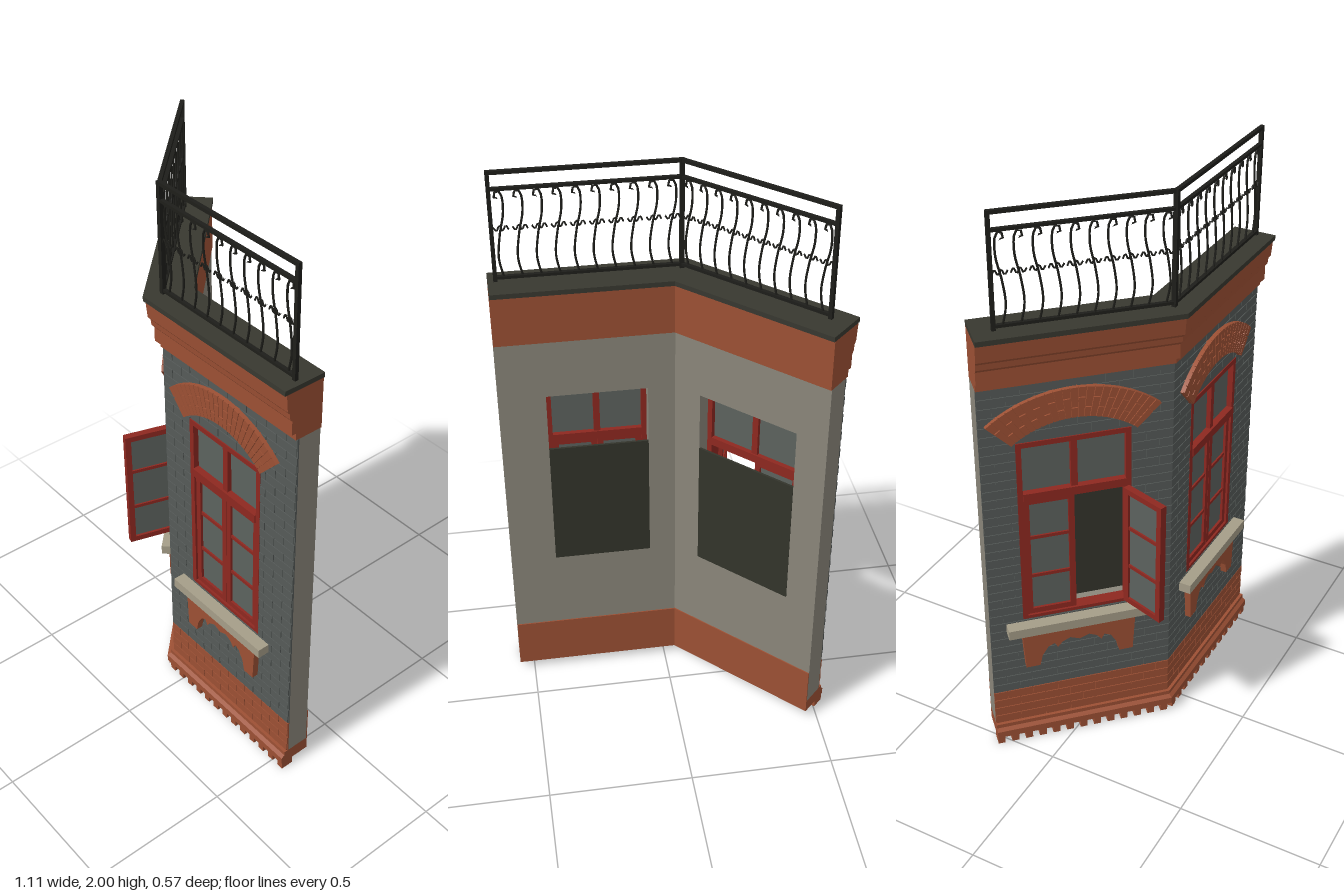
import * as THREE from 'three';
import { mergeGeometries } from 'three/addons/utils/BufferGeometryUtils.js';

const paint = (name, color) => {
  const m = new THREE.MeshStandardMaterial({ color });
  m.name = name;
  return m;
};
const M = {
  wall: paint('plaster', 0x8a867a),
  brick: paint('greyBrick', 0x555a58),
  clay: paint('terracotta', 0x9c5034),
  slab: paint('roofSlab', 0x383830),
  iron: paint('iron', 0x1e1e1a),
  red: paint('redFrame', 0x8e2820),
  glass: paint('glass', 0x5c625e),
  sill: paint('sillStone', 0xa59d88),
  panel: paint('darkPanel', 0x33342b),
};
const L = 0.628;                       // wing length along its front face
const BACK = -0.082;                   // rear face of the wall
const MITER = Math.tan(Math.PI / 8);

const mesh = (name, geo, mat) => {
  const m = new THREE.Mesh(geo, mat);
  m.name = name;
  return m;
};
// Box given by its minimum and maximum corners
function box(x0, x1, y0, y1, z0, z1) {
  const g = new THREE.BoxGeometry(Math.abs(x1 - x0), y1 - y0, z1 - z0);
  return g.translate((x0 + x1) / 2, (y0 + y1) / 2, (z0 + z1) / 2);
}
// Cut the end at the corner (x = 0) along the bisector of the two wings
function miter(geo, s) {
  const p = geo.attributes.position;
  for (let i = 0; i < p.count; i++) {
    if (Math.abs(p.getX(i)) < 1e-4) p.setX(i, -s * p.getZ(i) * MITER);
  }
  geo.computeVertexNormals();
  return geo;
}
const shapeOf = (pts) => new THREE.Shape(pts.map(([x, y]) => new THREE.Vector2(x, y)));
const extrude = (shape, depth) =>
  new THREE.ExtrudeGeometry(shape, { depth, bevelEnabled: false, curveSegments: 8 });
// Moulding: a (z, y) profile run along the wing
function moulding(profile, s) {
  const g = extrude(shapeOf(profile), L).rotateY(-Math.PI / 2);
  if (s > 0) g.translate(L, 0, 0);
  return miter(g, s);
}
const band = (z0, z1, y0, y1, s) => moulding([[z0, y0], [z1, y0], [z1, y1], [z0, y1]], s);
// Wall plate with the window opening
function pierced(s, y0, y1, hole, z0, z1) {
  const a = Math.min(0, s * L), b = Math.max(0, s * L);
  const shape = shapeOf([[a, y0], [b, y0], [b, y1], [a, y1]]);
  const [h0, h1, hy0, hy1] = hole;
  shape.holes.push(new THREE.Path([[h0, hy0], [h0, hy1], [h1, hy1], [h1, hy0]]
    .map(([x, y]) => new THREE.Vector2(x, y))));
  return miter(extrude(shape, z1 - z0).translate(0, 0, z0), s);
}
// Running bond of bricks that leaves the opening free
function bricks(s, y0, y1, rows, hole) {
  const parts = [], len = 0.0897, gap = 0.003, h = (y1 - y0) / rows;
  for (let r = 0; r < rows; r++) {
    const b0 = y0 + r * h, b1 = b0 + h - gap;
    for (let u = r % 2 ? -len / 2 : 0; u < L - 0.001; u += len) {
      const ua = Math.max(0, u), ub = Math.min(L, u + len - gap);
      const a = Math.min(s * ua, s * ub), b = Math.max(s * ua, s * ub);
      const cut = hole && b1 > hole[2] && b0 < hole[3];
      const spans = cut ? [[a, Math.min(b, hole[0])], [Math.max(a, hole[1]), b]] : [[a, b]];
      for (const [p, q] of spans) if (q - p > 0.003) parts.push(box(p, q, b0, b1, 0.001, 0.007));
    }
  }
  return miter(mergeGeometries(parts), s);
}
// Glazed leaf: red border, crossbars and a pane, from its hinge along +x
function leaf(name, w, y0, y1, bars) {
  const g = new THREE.Group(), t = 0.02, d = 0.012;
  g.name = name;
  const frame = [box(0, t, y0, y1, -d, d), box(w - t, w, y0, y1, -d, d),
    box(t, w - t, y0, y0 + t, -d, d), box(t, w - t, y1 - t, y1, -d, d)];
  for (let i = 1; i <= bars; i++) {
    const y = y0 + (y1 - y0) * i / (bars + 1);
    frame.push(box(t, w - t, y - 0.006, y + 0.006, -0.009, 0.009));
  }
  g.add(mesh(name + 'Frame', mergeGeometries(frame), M.red));
  g.add(mesh(name + 'Pane', box(t, w - t, y0 + t, y1 - t, -0.003, 0.003), M.glass));
  return g;
}
// Window with surround; k widens it, open swings the leaf next to the corner
function makeWindow(k, open) {
  const g = new THREE.Group(), hw = 0.1715 * k, t = 0.018, zc = -0.012;
  g.name = 'window';
  g.add(mesh('windowFrame', mergeGeometries([
    box(-hw, -hw + t, 0.525, 1.22, -0.035, 0.008), box(hw - t, hw, 0.525, 1.22, -0.035, 0.008),
    box(-hw + t, hw - t, 1.202, 1.22, -0.035, 0.008), box(-hw + t, hw - t, 0.525, 0.537, -0.035, 0.008),
    box(-hw + t, hw - t, 1.0, 1.03, -0.035, 0.012), box(-0.011, 0.011, 1.03, 1.202, -0.03, 0.004),
  ]), M.red));
  g.add(mesh('upperPane', box(-hw + t, hw - t, 1.03, 1.202, -0.018, -0.012), M.glass));
  g.add(mesh('rearPanel', box(-hw, hw, 0.525, 1.005, BACK - 0.001, BACK + 0.007), M.panel));
  const w = hw - t - 0.001;
  const left = leaf('leftLeaf', w, 0.537, 1.0, 2), right = leaf('rightLeaf', w, 0.537, 1.0, 2);
  left.position.set(-hw + t, 0, zc);
  right.position.set(hw - t, 0, open ? 0.012 : zc);
  right.rotation.y = open ? -1.09 : Math.PI;
  g.add(left, right);

  // Sill and scalloped apron
  g.add(mesh('sill', box(-0.225 * k, 0.225 * k, 0.48, 0.515, 0, 0.05), M.sill));
  const half = [[0.18, 0.47], [0.172, 0.33], [0.128, 0.33], [0.12, 0.37], [0.1, 0.405],
    [0.08, 0.415], [0.07, 0.395], [0.055, 0.415], [0.03, 0.428]];
  const apron = [...half, [0, 0.415], ...half.map(([x, y]) => [-x, y]).reverse()];
  g.add(mesh('apron', extrude(shapeOf(apron.reverse().map(([x, y]) => [x * k, y])), 0.03), M.clay));

  // Arch of wedge bricks over a thinner backing
  const ring = (r0, r1, a0, a1, d) => {
    const s = new THREE.Shape();
    s.absarc(0, 0, r1, a0, a1, false);
    s.absarc(0, 0, r0, a1, a0, true);
    return new THREE.ExtrudeGeometry(s, { depth: d, bevelEnabled: false, curveSegments: d < 0.02 ? 24 : 2 })
      .scale(k, 1, 1).translate(0, 1.02, 0);
  };
  const A = 0.742, n = 23, step = 2 * A / n, wedges = [ring(0.275, 0.38, Math.PI / 2 - A, Math.PI / 2 + A, 0.017)];
  for (let i = 0; i < n; i++) {
    const a = Math.PI / 2 - A + i * step, split = i % 2 ? 0.31 : 0.345;
    wedges.push(ring(0.275, split - 0.002, a, a + step * 0.9, 0.022));
    wedges.push(ring(split + 0.002, 0.38, a, a + step * 0.9, 0.022));
  }
  g.add(mesh('arch', mergeGeometries(wedges), M.clay));
  return g;
}
// Wrought-iron railing with curled balusters
function makeRailing(s, len) {
  const g = new THREE.Group(), parts = [], n = 10, r = 0.0065;
  g.name = 'railing';
  parts.push(box(s * len - r, s * len + r, 1.62, 2, -r, r));
  for (const [y, h] of [[1.988, 0.012], [1.934, 0.01], [1.63, 0.01]]) {
    parts.push(box(0, s * len, y, y + h, -r, r));
  }
  g.add(mesh('rails', mergeGeometries(parts), M.iron));
  const tube = (x, pts, rad) => new THREE.TubeGeometry(new THREE.CatmullRomCurve3(
    pts.map(([px, y]) => new THREE.Vector3(x + px, y, 0))), 20, rad, 5);
  const bars = [], gap = len / n;
  for (let i = 0; i < n; i++) {
    const x = s * (i + 0.5) * gap;
    bars.push(tube(x, [[0, 1.63], [0.013, 1.7], [0.005, 1.78], [-0.011, 1.86], [-0.008, 1.92],
      [0.004, 1.934], [0.014, 1.92], [0.011, 1.903], [0.003, 1.908]], 0.0038));
    bars.push(tube(x, [[-0.024, 1.8], [-0.016, 1.814], [-0.006, 1.797], [0.004, 1.814],
      [0.014, 1.797], [0.024, 1.81]], 0.003));
  }
  g.add(mesh('balusters', mergeGeometries(bars), M.iron));
  return g;
}
// One wing of the facade; s = 1 runs along +x, s = -1 along -x from the corner
function makeWing(name, s, centre, k, railLen, open) {
  const g = new THREE.Group(), cx = s * centre, hw = 0.1715 * k;
  const hole = [cx - hw, cx + hw, 0.525, 1.22];
  g.name = name;
  g.add(mesh('wall', pierced(s, 0.08, 1.43, hole, BACK, 0), M.wall));
  g.add(mesh('brickBacking', pierced(s, 0.22, 1.43, hole, 0, 0.004), M.brick));
  g.add(mesh('brickwork', bricks(s, 0.22, 1.43, 36, hole), M.brick));
  // Plinth
  g.add(mesh('plinthBacking', band(0, 0.004, 0.08, 0.22, s), M.clay));
  g.add(mesh('plinthBricks', bricks(s, 0.08, 0.22, 4), M.clay));
  g.add(mesh('plinthRear', band(BACK - 0.004, BACK, 0.08, 0.22, s), M.clay));
  g.add(mesh('footing', moulding([[BACK - 0.004, 0.03], [0.03, 0.03], [0.03, 0.055],
    [0.018, 0.065], [0.018, 0.08], [BACK - 0.004, 0.08]], s), M.clay));
  const teeth = [];
  for (let i = 0; i < 13; i++) {
    const u = 0.002 + i * 0.05;
    teeth.push(box(s * u, s * (u + 0.025), 0, 0.03, -0.02, 0.026));
  }
  g.add(mesh('footingTeeth', mergeGeometries(teeth), M.clay));
  // Cornice and roof slab
  g.add(mesh('cornice', moulding([[BACK - 0.004, 1.43], [0.014, 1.43], [0.014, 1.455], [0.03, 1.455],
    [0.03, 1.505], [0.038, 1.515], [0.04, 1.535], [0.048, 1.545], [0.053, 1.605], [BACK - 0.004, 1.605]], s), M.clay));
  g.add(mesh('roofSlab', band(-0.09, 0.06, 1.605, 1.622, s), M.slab));

  const win = makeWindow(k, open);
  win.position.x = cx;
  g.add(win, makeRailing(s, railLen));
  return g;
}

export function createModel() {
  const model = new THREE.Group();
  model.name = 'cornerFacade';
  const corner = new THREE.Group();
  corner.name = 'facade';
  corner.position.set(-0.075, 0, 0.225);
  const straight = makeWing('straightWing', 1, 0.2975, 1, 0.602, false);
  const angled = makeWing('angledWing', -1, 0.325, 1.1, 0.56, true);
  angled.rotation.y = -Math.PI / 4;
  corner.add(straight, angled, mesh('cornerPost', box(-0.0075, 0.0075, 1.62, 2, -0.0075, 0.0075), M.iron));
  model.add(corner);
  return model;
}
